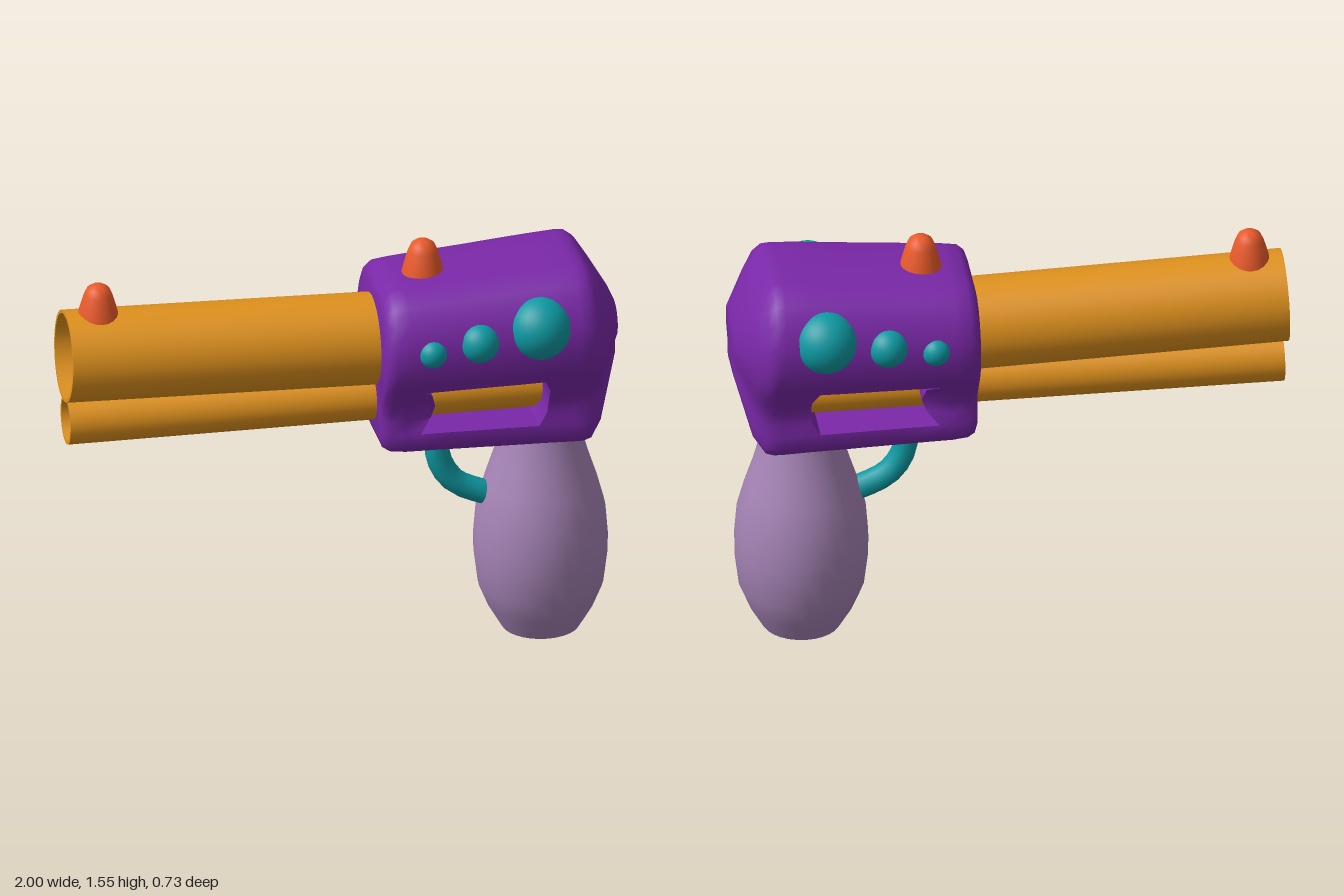
import * as THREE from 'three';
import { toCreasedNormals } from 'three/addons/utils/BufferGeometryUtils.js';

const mat = (color) => new THREE.MeshStandardMaterial({ color });
const purple = mat(0x7a28a8), amber = mat(0xe0921e), teal = mat(0x0e9aa3);
const orange = mat(0xe85a2a), lavender = mat(0xa583b5);

function add(group, name, geometry, material, x = 0, y = 0, z = 0) {
  const mesh = new THREE.Mesh(geometry, material);
  mesh.name = name;
  mesh.position.set(x, y, z);
  group.add(mesh);
  return mesh;
}

const lathe = (points, segments) =>
  toCreasedNormals(new THREE.LatheGeometry(points.map(([r, y]) => new THREE.Vector2(r, y)), segments), 0.7);

// Body: cross-sections lofted along x, with a slot cut through both sides
function bodyGeometry() {
  // half profile from bottom centre to top centre: [height fraction, half width]
  const half = [[0, 0], [0, 0.15], [0.015, 0.178], [0.06, 0.197], [0.13, 0.198], [0.2, 0.193], [0.27, 0.198],
    [0.35, 0.23], [0.425, 0.264], [0.5, 0.295], [0.62, 0.316], [0.75, 0.31], [0.87, 0.275], [0.94, 0.235],
    [0.985, 0.185], [1, 0.14], [1, 0]];
  const ring = [...half, ...half.slice(1, -1).reverse().map(([f, z]) => [f, -z])];
  const n = ring.length;
  // sections: [x, top, bottom, width scale]
  const sections = [[0.13, 1.37, 0.84, 0.83], [0.14, 1.4, 0.81, 0.88], [0.165, 1.42, 0.796, 0.92],
    [0.22, 1.427, 0.79, 0.93], [0.3, 1.433, 0.789, 0.94], [0.4, 1.44, 0.787, 0.95], [0.5, 1.447, 0.785, 0.96],
    [0.62, 1.456, 0.783, 0.98], [0.73, 1.464, 0.781, 0.99], [0.83, 1.47, 0.778, 1], [0.865, 1.467, 0.778, 1],
    [0.895, 1.445, 0.785, 0.96], [0.935, 1.385, 0.84, 0.8], [1, 1.28, 1.07, 0.42]];
  // slot limits in section and profile indices, and the shape of its two ends
  const i0 = 4, i1 = 8, j0 = 4, j1 = 8;
  const ends = { [i0]: [0.27, 0.315, 0.33, 0.315, 0.27], [i1]: [0.7, 0.73, 0.735, 0.735, 0.71] };

  const pos = [], index = [];
  const id = (i, j) => i * n + (j + n) % n;
  sections.forEach(([x, top, bottom, w], i) => ring.forEach(([f, z], j) => {
    const row = Math.min(j, n - j) - j0;
    const inSlot = row >= 0 && row <= j1 - j0;
    const pinch = i === i0 && row > 0 && row < j1 - j0 ? 0.8 : 1;
    pos.push(inSlot && ends[i] ? ends[i][row] : x, bottom + f * (top - bottom), z * w * pinch);
  }));
  const quad = (a, b, c, d) => index.push(a, b, d, a, d, c);
  for (let i = 0; i < sections.length - 1; i++) {
    for (let j = 0; j < n; j++) {
      const row = Math.min(j, n - 1 - j);
      if (i >= i0 && i < i1 && row >= j0 && row < j1) continue;
      quad(id(i, j), id(i + 1, j), id(i, j + 1), id(i + 1, j + 1));
    }
  }
  // slot lining from one side to the other
  const loop = [];
  for (let i = i0; i < i1; i++) loop.push([i, j0]);
  for (let j = j0; j < j1; j++) loop.push([i1, j]);
  for (let i = i1; i > i0; i--) loop.push([i, j1]);
  for (let j = j1; j > j0; j--) loop.push([i0, j]);
  loop.forEach(([i, j], k) => {
    const [p, q] = loop[(k + 1) % loop.length];
    quad(id(i, j), id(p, q), id(i, -j), id(p, -q));
  });
  // end caps
  [0, sections.length - 1].forEach((i) => {
    const [x, top, bottom] = sections[i];
    const c = pos.length / 3;
    pos.push(x, (top + bottom) / 2, 0);
    for (let j = 0; j < n; j++) {
      if (i === 0) index.push(c, id(i, j), id(i, j + 1));
      else index.push(c, id(i, j + 1), id(i, j));
    }
  });
  const g = new THREE.BufferGeometry();
  g.setAttribute('position', new THREE.Float32BufferAttribute(pos, 3));
  g.setIndex(index);
  return toCreasedNormals(g, 0.8);
}

// Hollow tube with a thin rim, open at its start
function barrelGeometry(radius, length) {
  const inner = radius - 0.012;
  return lathe([[0, 0.95], [inner, 0.95], [inner, 0], [radius, 0], [radius, length], [0, length]], 40);
}

export function createModel() {
  const model = new THREE.Group();
  model.name = 'toyBlaster';

  const body = add(model, 'body', bodyGeometry(), purple);
  body.material.side = THREE.DoubleSide;

  // Barrels, lying along x and dipping slightly to the rear
  const upper = add(model, 'upperBarrel', barrelGeometry(0.167, 1.76), amber, -0.995, 1.217, 0);
  upper.rotation.z = -Math.PI / 2 - 0.031;
  const lower = add(model, 'lowerBarrel', barrelGeometry(0.09, 1.76), amber, -0.988, 0.966, 0);
  lower.rotation.z = -Math.PI / 2 - 0.006;
  amber.side = THREE.DoubleSide;

  // Grip
  const grip = [[0.14, 0], [0.19, 0.085], [0.225, 0.17], [0.24, 0.29], [0.241, 0.36], [0.232, 0.47],
    [0.205, 0.57], [0.172, 0.67], [0.142, 0.78], [0.125, 0.86]];
  add(model, 'grip', lathe([[0, 0], ...grip, [0, 0.86]], 28), lavender, 0.745, 0, 0);

  // Trigger
  const path = new THREE.CatmullRomCurve3([[0.372, 0.84], [0.372, 0.69], [0.43, 0.592], [0.58, 0.52]]
    .map(([x, y]) => new THREE.Vector3(x, y, 0)));
  add(model, 'trigger', new THREE.TubeGeometry(path, 10, 0.045, 12), teal);

  // Sights
  const sight = [[0.083, -0.03], [0.078, 0], [0.068, 0.04], [0.054, 0.09], [0.042, 0.117], [0.024, 0.13], [0, 0.135]];
  add(model, 'rearSight', lathe(sight, 20), orange, 0.315, 1.42, 0);
  const front = add(model, 'frontSight', lathe(sight, 20), orange, -0.87, 1.37, 0);
  front.scale.set(0.95, 0.89, 0.95);

  // Round studs on both sides: x, y, z, radius
  for (const side of [1, -1]) {
    for (const [x, y, z, r] of [[0.295, 1.23, 0.274, 0.053], [0.467, 1.255, 0.268, 0.074], [0.69, 1.285, 0.248, 0.118]]) {
      add(model, side > 0 ? 'frontStud' : 'backStud', new THREE.SphereGeometry(r, 28, 18), teal, x, y, side * z);
    }
  }
  return model;
}
